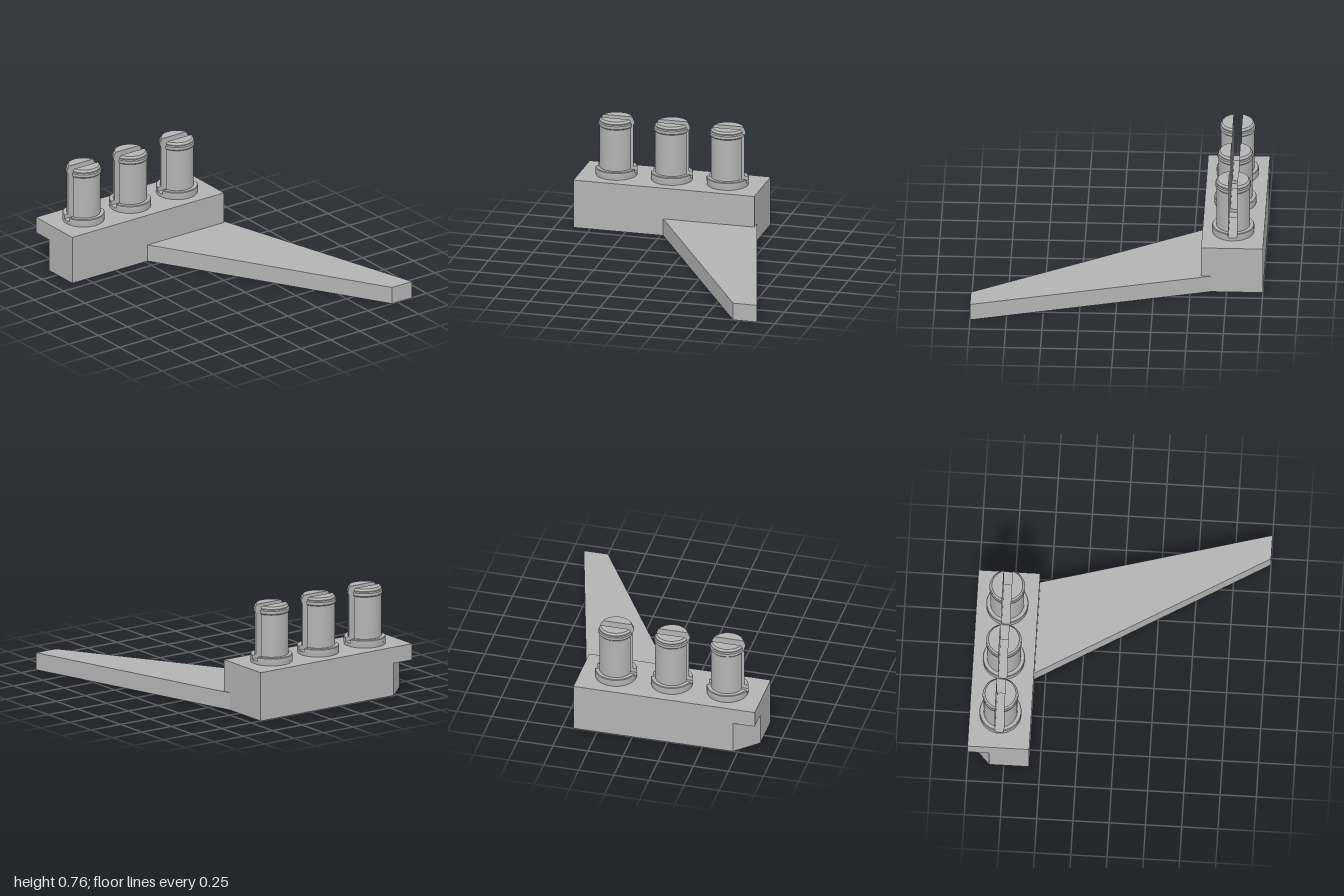
import * as THREE from 'three';
import { toCreasedNormals } from 'three/addons/utils/BufferGeometryUtils.js';

const grey = new THREE.MeshStandardMaterial({ color: 0xb3b3b3 });
grey.name = 'plain grey';

const PEG_X = -0.787;
const PEG_Z = [-0.172, 0.226, 0.622];
const SLOT_HALF = 0.03;

function part(name, geometry) {
  const mesh = new THREE.Mesh(geometry, grey);
  mesh.name = name;
  return mesh;
}

// Vertical prism over an outline of [x, z] points, with optional holes
function prism(outline, y0, y1, holes = []) {
  const toVectors = (pts) => pts.map(([x, z]) => new THREE.Vector2(x, -z));
  const shape = new THREE.Shape(toVectors(outline));
  for (const hole of holes) shape.holes.push(new THREE.Path(toVectors(hole)));
  return new THREE.ExtrudeGeometry(shape, { depth: y1 - y0, bevelEnabled: false })
    .rotateX(-Math.PI / 2)
    .translate(0, y0, 0);
}

// Half of a turned peg, cut flat along the slot at x = SLOT_HALF
function halfPeg(profile, segments = 28) {
  const rings = profile.map(([r, y]) => {
    const limit = Math.acos(SLOT_HALF / r);
    return Array.from({ length: segments + 1 }, (_, i) => {
      const a = -limit + (2 * limit * i) / segments;
      return [r * Math.cos(a), y, r * Math.sin(a)];
    });
  });
  const pos = [];
  const n = segments + 1;
  for (let k = 0; k < rings.length - 1; k++) {
    const lo = rings[k], hi = rings[k + 1];
    for (let i = 0; i < n; i++) {
      const j = (i + 1) % n; // the last step closes the flat slot wall
      pos.push(...lo[i], ...hi[i], ...lo[j], ...lo[j], ...hi[i], ...hi[j]);
    }
  }
  const top = rings[rings.length - 1];
  const centre = [SLOT_HALF, top[0][1], 0];
  for (let i = 0; i < segments; i++) pos.push(...centre, ...top[i + 1], ...top[i]);
  const geometry = new THREE.BufferGeometry();
  geometry.setAttribute('position', new THREE.Float32BufferAttribute(pos, 3));
  return toCreasedNormals(geometry, 0.4);
}

export function createModel() {
  const model = new THREE.Group();
  model.name = 'bracketWithPegs';

  // Block: full upper slab, lower part with one chamfered corner and slots below
  const full = [[-1, -0.42], [-0.575, -0.42], [-0.575, 0.872], [-1, 0.872]];
  const chamfered = [[-1, -0.42], [-0.575, -0.42], [-0.575, 0.872], [-0.85, 0.872], [-1, 0.715]];
  const slots = [0.4, 0.555, 0.71].map((z) => [
    [-0.93, z - 0.023], [-0.64, z - 0.023], [-0.64, z + 0.023], [-0.93, z + 0.023],
  ]);
  const block = new THREE.Group();
  block.name = 'block';
  block.add(
    part('blockTop', prism(full, 0.23, 0.345)),
    part('blockMiddle', prism(chamfered, 0.09, 0.23)),
    part('blockSlottedBase', prism(chamfered, 0, 0.09, slots)),
  );
  model.add(block);

  // Tapering arm, flush with the underside
  const arm = [[-0.64, -0.42], [1, -0.875], [1, -0.703], [-0.575, 0.23], [-0.575, -0.42]];
  model.add(part('arm', prism(arm, 0, 0.122)));

  // Split pegs: collar, barrel, snap lip and chamfered tip
  const half = halfPeg([
    [0.145, 0.37], [0.145, 0.395], [0.141, 0.4], [0.116, 0.4], [0.116, 0.7],
    [0.123, 0.708], [0.123, 0.728], [0.117, 0.735], [0.117, 0.742], [0.106, 0.757],
  ]);
  const foot = new THREE.CylinderGeometry(0.145, 0.143, 0.025, 56);
  for (const z of PEG_Z) {
    const peg = new THREE.Group();
    peg.name = 'splitPeg';
    peg.position.set(PEG_X, 0, z);
    const collar = part('pegFoot', foot);
    collar.position.y = 0.3575;
    const left = part('pegHalfLeft', half);
    const right = part('pegHalfRight', half);
    right.rotation.y = Math.PI;
    peg.add(collar, left, right);
    model.add(peg);
  }
  return model;
}
